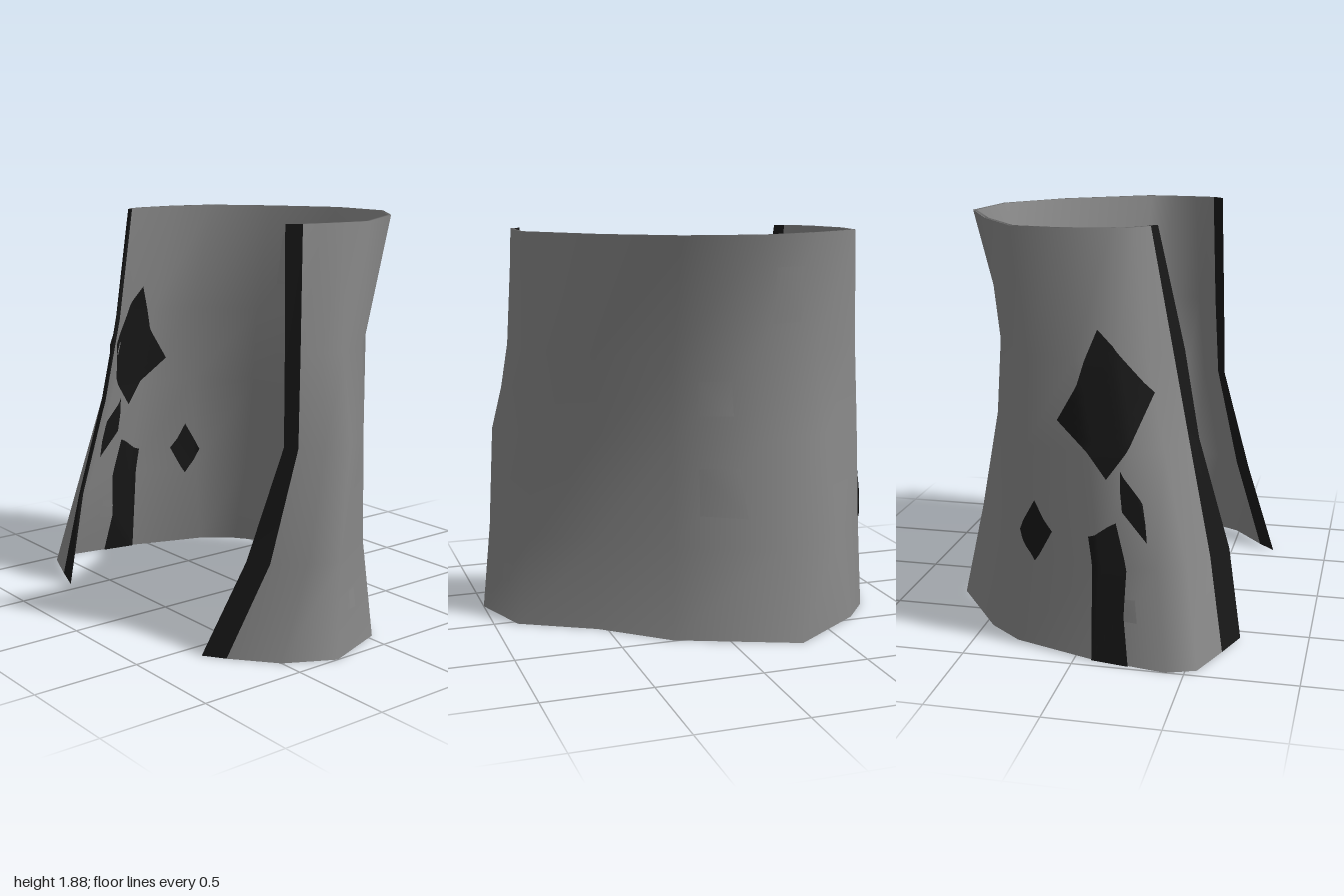
import * as THREE from 'three';

const grey = new THREE.MeshStandardMaterial({ color: 0x888888, side: THREE.DoubleSide });
const dark = new THREE.MeshStandardMaterial({ color: 0x181818, side: THREE.DoubleSide });
const THICK = 0.02;

// Horizontal sections [x, z], from the right front edge around the back to the left front edge
const HEIGHTS = [0, 0.43, 0.93, 1.33, 1.88];
const SECTIONS = [
  [[-.74, .63], [-.95, .55], [-1, .42], [-.94, .08], [-.81, -.3], [-.68, -.46], [-.31, -.72],
    [.25, -.49], [.54, -.23], [.89, -.03], [1, .28], [.88, .5], [.69, .655]],
  [[-.68, .56], [-.83, .48], [-.91, .36], [-.91, .1], [-.8, -.27], [-.6, -.48], [-.22, -.65],
    [.22, -.42], [.52, -.17], [.82, -.03], [.965, .24], [.91, .38], [.8, .5]],
  [[-.615, .45], [-.74, .36], [-.87, .23], [-.885, .05], [-.79, -.25], [-.52, -.47], [-.15, -.58],
    [.24, -.45], [.53, -.22], [.81, -.03], [.95, .18], [.91, .29], [.84, .38]],
  [[-.595, .37], [-.73, .28], [-.825, .16], [-.845, -.02], [-.77, -.25], [-.47, -.46], [-.13, -.55],
    [.25, -.49], [.55, -.28], [.8, -.02], [.86, .14], [.85, .26], [.82, .355]],
  [[-.615, .27], [-.68, .21], [-.72, .12], [-.76, -.1], [-.72, -.33], [-.45, -.53], [-.11, -.7],
    [.26, -.66], [.56, -.42], [.835, -.02], [.83, .13], [.82, .24], [.805, .335]],
];
const COLS = SECTIONS[0].length, ROWS = HEIGHTS.length;

// Section point pushed outwards by "off"
function point(i, j, off = 0) {
  const s = SECTIONS[j], a = s[Math.max(i - 1, 0)], b = s[Math.min(i + 1, COLS - 1)];
  const dx = b[0] - a[0], dz = b[1] - a[1], len = Math.hypot(dx, dz);
  return new THREE.Vector3(s[i][0] + dz / len * off, HEIGHTS[j], s[i][1] - dx / len * off);
}

// Any place on the faceted shell: column u, height y
function surface(u, y, off) {
  const i = Math.min(Math.floor(u), COLS - 2);
  let j = 0;
  while (j < ROWS - 2 && y > HEIGHTS[j + 1]) j++;
  const s = u - i, t = (y - HEIGHTS[j]) / (HEIGHTS[j + 1] - HEIGHTS[j]);
  const b = point(i + 1, j, off), c = point(i, j + 1, off);
  const low = s + t < 1, o = low ? point(i, j, off) : point(i + 1, j + 1, off);
  const toB = b.sub(o), toC = c.sub(o);
  return o.addScaledVector(toB, low ? s : 1 - t).addScaledVector(toC, low ? t : 1 - s);
}

// Sheet of nu x nv points
function sheet(name, nu, nv, at, material, flip = false) {
  const pos = [], index = [];
  for (let j = 0; j < nv; j++) for (let i = 0; i < nu; i++) pos.push(...at(i, j).toArray());
  for (let j = 0; j < nv - 1; j++) for (let i = 0; i < nu - 1; i++) {
    const a = j * nu + i, b = a + 1, c = a + nu, d = c + 1;
    index.push(...(flip ? [a, b, c, b, d, c] : [a, c, b, b, c, d]));
  }
  const g = new THREE.BufferGeometry();
  g.setAttribute('position', new THREE.Float32BufferAttribute(pos, 3));
  g.setIndex(index);
  g.computeVertexNormals();
  const m = new THREE.Mesh(g, material);
  m.name = name;
  return m;
}

// Four-cornered dark patch, shown on both faces of the shell; corners are [column, height]
function patch(name, corners) {
  const group = new THREE.Group(), n = 13;
  group.name = name;
  const [a, b, c, d] = corners.map((p) => new THREE.Vector2(...p));
  for (const off of [0.008, -THICK - 0.008]) {
    group.add(sheet(name + 'Face', n, n, (i, j) => {
      const p = a.clone().lerp(b, i / (n - 1)).lerp(d.clone().lerp(c, i / (n - 1)), j / (n - 1));
      return surface(p.x, p.y, off);
    }, dark, off < 0));
  }
  return group;
}

// Wedge-shaped trim closing a front edge; tips are [x, z] for each height
function trim(name, col, tips) {
  const group = new THREE.Group();
  group.name = name;
  const outer = (j) => point(col, j), inner = (j) => point(col, j, -THICK);
  const tip = (j) => new THREE.Vector3(tips[j][0], HEIGHTS[j], tips[j][1]);
  const side = col === 0;
  group.add(sheet(name + 'Outer', 2, ROWS, (i, j) => (i ? tip(j) : outer(j)), dark, side));
  group.add(sheet(name + 'Inner', 2, ROWS, (i, j) => (i ? tip(j) : inner(j)), dark, !side));
  for (const j of [0, ROWS - 1]) {
    const cap = new THREE.BufferGeometry().setFromPoints([outer(j), tip(j), inner(j)]);
    cap.computeVertexNormals();
    const m = new THREE.Mesh(cap, dark);
    m.name = name + 'End';
    group.add(m);
  }
  return group;
}

export function createModel() {
  const model = new THREE.Group();
  model.name = 'openWrap';

  // Shell: up the outside, over the top rim, down the lining and back under the hem
  model.add(sheet('shell', COLS, 2 * ROWS + 1, (i, j) => {
    if (j < ROWS) return point(i, j);
    return j < 2 * ROWS ? point(i, 2 * ROWS - 1 - j, -THICK) : point(i, 0);
  }, grey));

  // Front edge trims
  model.add(trim('rightTrim', 0, [[-.57, .69], [-.565, .63], [-.535, .48], [-.53, .41], [-.56, .29]]));
  model.add(trim('leftTrim', COLS - 1, [[.595, .72], [.71, .56], [.78, .41], [.77, .4], [.75, .385]]));

  // Dark patches on the right side
  model.add(patch('sidePatch', [[2.4, 1.46], [1, 1.18], [2.6, .82], [3.4, 1.06]]));
  model.add(patch('smallPatch', [[2.25, .86], [1.95, .72], [2.05, .55], [2.35, .68]]));
  model.add(patch('diamondPatch', [[3.82, .68], [3.56, .55], [3.82, .4], [4.08, .53]]));
  model.add(patch('hemStripe', [[2.5, 0], [3, 0], [3.08, .56], [2.5, .63]]));

  return model;
}
